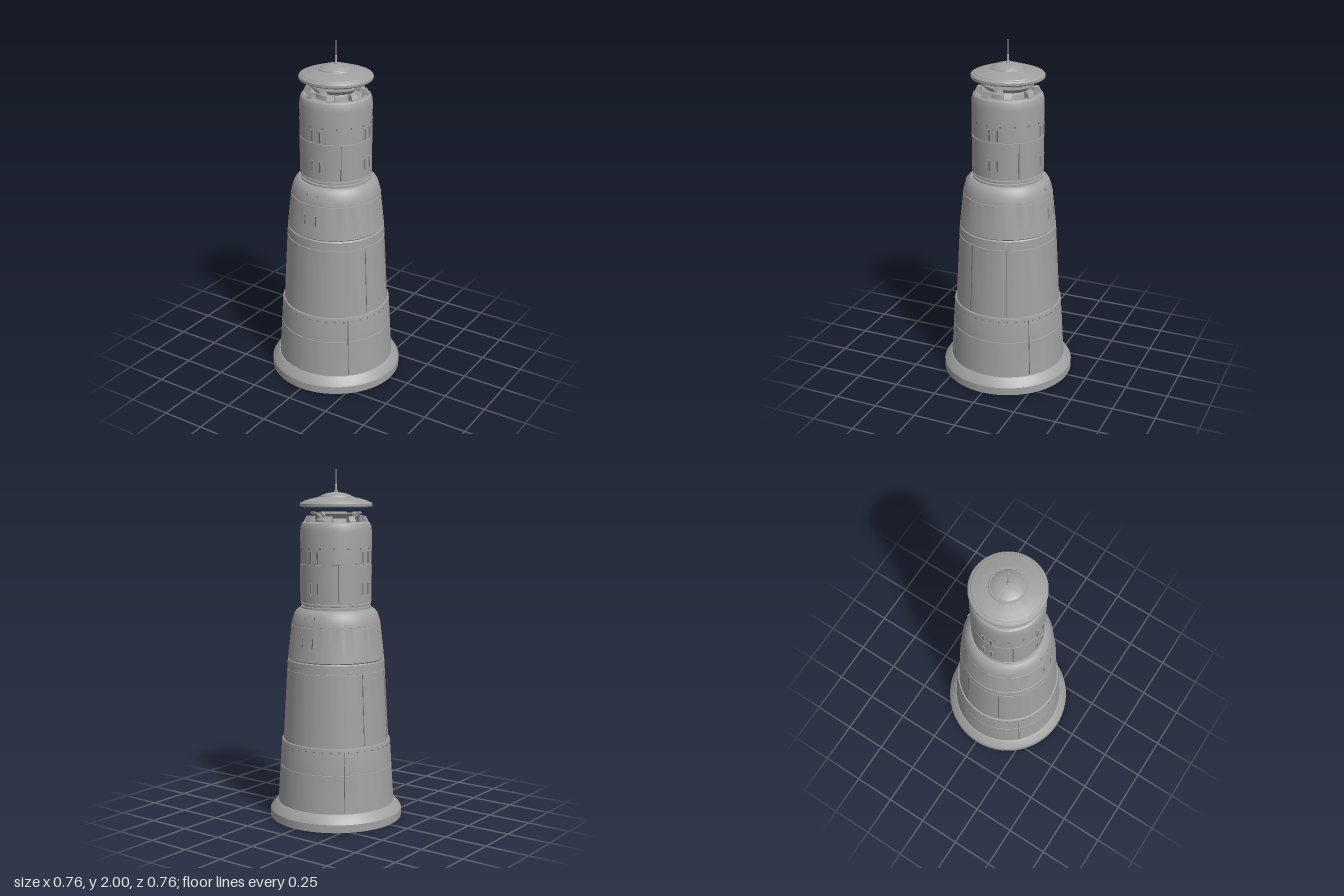
import * as THREE from 'three';
import { toCreasedNormals, mergeGeometries } from 'three/addons/utils/BufferGeometryUtils.js';

const stone = new THREE.MeshStandardMaterial({ color: 0xa0a0a0 });
stone.name = 'grey';
const recess = new THREE.MeshStandardMaterial({ color: 0x6a6a6a });
recess.name = 'dark grey';

export function createModel() {
  const tower = new THREE.Group();
  tower.name = 'tower';

  const add = (name, geometry, material = stone) => {
    const mesh = new THREE.Mesh(geometry, material);
    mesh.name = name;
    tower.add(mesh);
    return mesh;
  };
  // Turned part from [radius, height] pairs, bottom to top along the outside
  const turned = (name, profile) => add(name, toCreasedNormals(
    new THREE.LatheGeometry(profile.map(([r, y]) => new THREE.Vector2(r, y)), 72), 0.45));
  // Shallow groove cut around a wall
  const groove = (r, y) => [[r, y - 0.003], [r - 0.004, y - 0.002], [r - 0.004, y + 0.002], [r, y + 0.003]];
  // Moves a geometry to the wall, leaning it with the slope
  const onWall = (geometry, angle, r, y, lean = 0) =>
    geometry.rotateX(-lean).translate(0, y, r).rotateY(angle);

  // Foot and tapering shaft
  turned('foot', [[0, 0], [0.382, 0], [0.382, 0.045], [0.376, 0.055], [0.35, 0.085], [0.342, 0.092], [0.33, 0.094]]);
  turned('lowerShaft', [[0.337, 0.09], ...groove(0.323, 0.31), [0.314, 0.448], [0.312, 0.458], [0.3, 0.46]]);
  turned('middleShaft', [[0.304, 0.455], ...groove(0.281, 0.87), [0.278, 0.92], [0.272, 0.926], [0.272, 0.932]]);
  turned('upperShaft', [[0.272, 0.926], [0.277, 0.932], [0.276, 0.938], ...groove(0.256, 1.125),
    [0.248, 1.16], [0.24, 1.185], [0.228, 1.204], [0.212, 1.216], [0.19, 1.22]]);

  // Neck rings under the turret
  turned('neck', [[0.2, 1.215], [0.2, 1.228], [0.189, 1.23], [0.189, 1.238], [0.2, 1.24], [0.2, 1.248], [0.193, 1.25], [0.193, 1.255]]);

  // Turret with its sunken deck
  turned('turret', [[0.19, 1.253], [0.203, 1.255], ...groove(0.203, 1.47), [0.203, 1.655],
    [0.2, 1.68], [0.194, 1.697], [0.183, 1.706], [0.165, 1.706], [0.16, 1.69], [0, 1.69]]);

  // Eight lugs around the deck
  const lugShape = new THREE.Shape([[0.145, 1.69], [0.187, 1.69], [0.182, 1.712], [0.168, 1.738], [0.145, 1.738]]
    .map(([x, y]) => new THREE.Vector2(x, y)));
  for (let i = 0; i < 8; i++) {
    const lug = new THREE.ExtrudeGeometry(lugShape, { depth: 0.04, bevelEnabled: false });
    add('deckLug', lug.translate(0, 0, -0.02)).rotation.y = (i + 0.5) * Math.PI / 4;
  }

  // Four flared plates around the lantern opening, with gaps on the axes
  const plateProfile = [[0.1, 1.725], [0.12, 1.728], [0.146, 1.752], [0.146, 1.759], [0.13, 1.759], [0.1, 1.74], [0.1, 1.725]]
    .map(([r, y]) => new THREE.Vector2(r, y));
  for (let i = 0; i < 4; i++) {
    const plate = new THREE.LatheGeometry(plateProfile, 14, i * Math.PI / 2 + 0.2, Math.PI / 2 - 0.4);
    const mesh = add('lanternPlate', toCreasedNormals(plate, 0.4));
    mesh.material = stone;
    // End walls of the plate
    for (const end of [0.2, Math.PI / 2 - 0.2]) {
      const wall = new THREE.ShapeGeometry(new THREE.Shape(plateProfile.slice(0, -1)));
      if (end > 1) wall.scale(1, 1, -1);
      const cap = add('lanternPlateEnd', wall);
      cap.rotation.y = i * Math.PI / 2 + end - Math.PI / 2;
      cap.material = plateEnd;
    }
  }
  turned('lanternSeat', [[0.12, 1.69], [0.115, 1.715], [0.1, 1.726], [0.088, 1.726], [0.085, 1.69]]);
  add('lanternPin', new THREE.CylinderGeometry(0.004, 0.004, 0.06, 10).translate(0, 1.72, 0));

  // Floating roof, hollow beneath
  turned('roof', [[0, 1.798], [0.18, 1.796], [0.19, 1.787], [0.2, 1.787], [0.206, 1.793], [0.206, 1.806], [0.2, 1.813],
    [0.19, 1.815], [0.187, 1.819], [0.15, 1.832], [0.1, 1.843], [0.097, 1.849], [0.088, 1.849], [0.084, 1.853],
    [0.05, 1.865], [0.012, 1.871], [0, 1.872]]);
  turned('mast', [[0.01, 1.865], [0.01, 1.878], [0.006, 1.882], [0.006, 1.912], [0.0035, 1.918], [0.0035, 1.998], [0, 2]]);

  // Windows: a dark pane with a thin frame
  const addWindow = (angle, r, x, y, w, h, lean) => {
    const wallZ = Math.sqrt(r * r - x * x);
    const pane = new THREE.BoxGeometry(w, h, 0.006).translate(x, 0, 0);
    add('windowPane', onWall(pane, angle, wallZ, y, lean), recess);
    const t = 0.003;
    const bars = [
      new THREE.BoxGeometry(w + 2 * t, t, 0.009).translate(x, h / 2, 0),
      new THREE.BoxGeometry(w + 2 * t, t, 0.009).translate(x, -h / 2, 0),
      new THREE.BoxGeometry(t, h, 0.009).translate(x - w / 2, 0, 0),
      new THREE.BoxGeometry(t, h, 0.009).translate(x + w / 2, 0, 0),
    ];
    add('windowFrame', onWall(mergeGeometries(bars), angle, wallZ, y, lean));
  };
  for (let i = 0; i < 4; i++) {
    for (const side of [-1, 1]) {
      addWindow(i * Math.PI / 2, 0.203, side * 0.025, 1.51, 0.014, 0.065, 0);
      addWindow(i * Math.PI / 2, 0.203, side * 0.025, 1.335, 0.012, 0.065, 0);
      if (i % 2 === 0) {
        addWindow(i * Math.PI / 2, 0.265, side * 0.035, 1.035, 0.012, 0.06, 0.11);
        addWindow(i * Math.PI / 2, 0.243, side * 0.033, 1.175, 0.01, 0.016, 0.45);
      }
    }
  }

  // Vertical panel seams
  const seam = (angle, r0, y0, r1, y1) => {
    const strip = new THREE.BoxGeometry(0.004, y1 - y0, 0.003);
    add('panelSeam', onWall(strip, angle, (r0 + r1) / 2, (y0 + y1) / 2, Math.atan((r0 - r1) / (y1 - y0))), recess);
  };
  for (let i = 0; i < 4; i++) {
    seam((i + 0.5) * Math.PI / 2, 0.336, 0.1, 0.315, 0.44);
    seam((i + 0.45) * Math.PI / 2, 0.203, 1.26, 0.203, 1.465);
    seam(Math.PI / 2 * (i < 2 ? 1 : 3) + (i % 2 ? 0.38 : -0.38), 0.303, 0.465, 0.281, 0.865);
  }

  // Rivet rings
  const rivets = (count, r, y, size) => {
    const studs = [];
    for (let i = 0; i < count; i++) {
      studs.push(onWall(new THREE.CylinderGeometry(size, size, 0.005, 8).rotateX(Math.PI / 2),
        (i + 0.5) * 2 * Math.PI / count, r, y));
    }
    add('rivets', mergeGeometries(studs), recess);
  };
  rivets(40, 0.315, 0.437, 0.004);
  rivets(16, 0.203, 1.56, 0.005);

  return tower;
}

// Same grey, seen from both sides for the open plate ends
const plateEnd = stone.clone();
plateEnd.side = THREE.DoubleSide;
